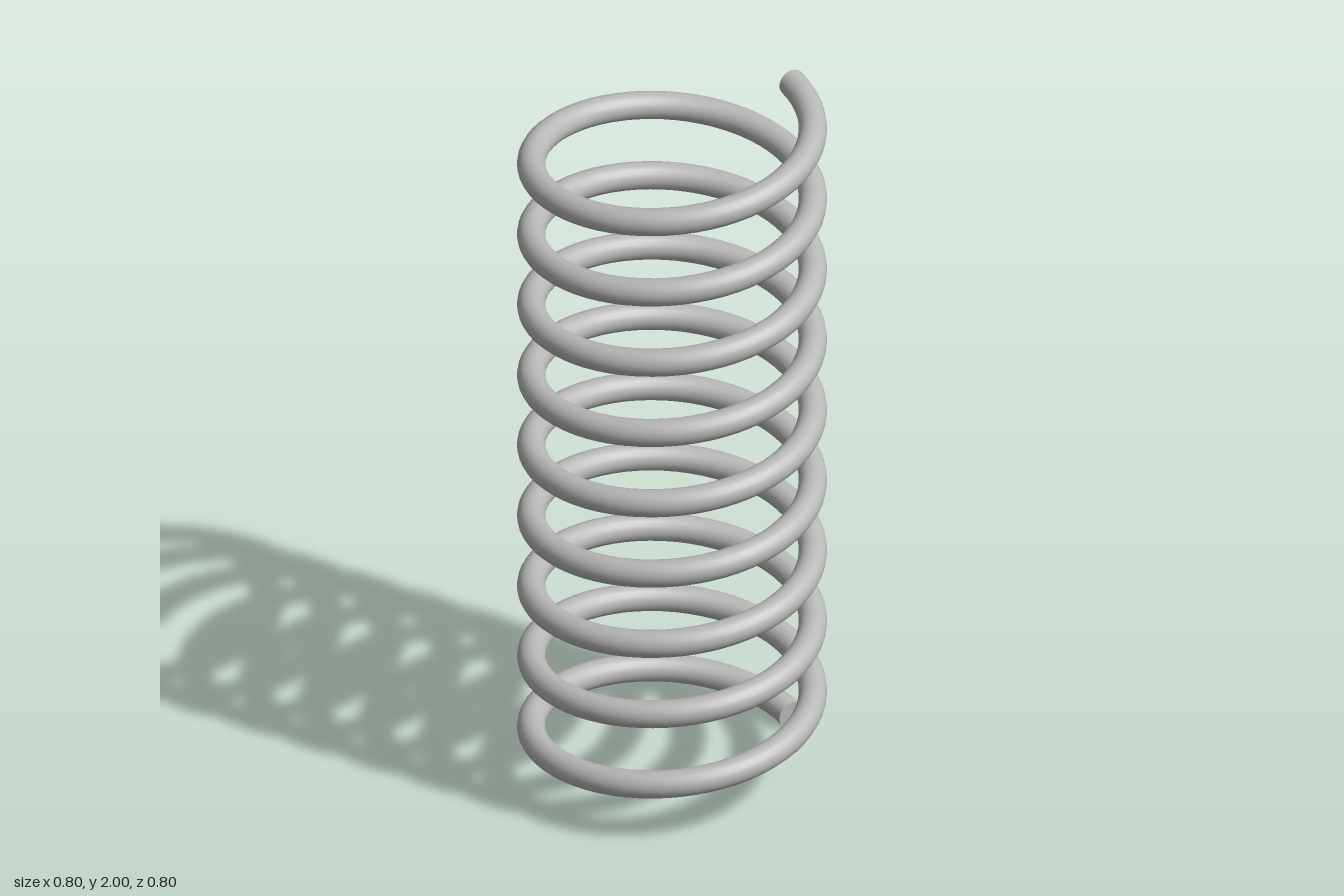
import * as THREE from 'three';

const TURNS = 9;
const COIL_RADIUS = 0.3625;
const WIRE_RADIUS = 0.0365;
const HEIGHT = 2;

// Wraps a capped straight rod (along y) into a helix with vertical radial end faces
function coilGeometry() {
  const geo = new THREE.CylinderGeometry(WIRE_RADIUS, WIRE_RADIUS, 1, 20, TURNS * 64);
  const pos = geo.attributes.position;
  const nor = geo.attributes.normal;
  const rise = HEIGHT - 2 * WIRE_RADIUS;
  const slope = rise / (TURNS * 2 * Math.PI);
  const radial = new THREE.Vector3();
  const tangent = new THREE.Vector3();
  const up = new THREE.Vector3(0, 1, 0);
  const v = new THREE.Vector3();

  for (let i = 0; i < pos.count; i++) {
    const t = pos.getY(i) + 0.5;
    const a = t * TURNS * 2 * Math.PI;
    radial.set(Math.cos(a), 0, -Math.sin(a));
    tangent.set(-Math.sin(a), 0, -Math.cos(a));

    const rho = COIL_RADIUS + pos.getX(i);
    v.copy(radial).multiplyScalar(rho);
    v.y = WIRE_RADIUS + t * rise + pos.getZ(i);
    pos.setXYZ(i, v.x, v.y, v.z);

    // Normal stays square to the climbing wire
    const nx = nor.getX(i), ny = nor.getY(i), nz = nor.getZ(i);
    v.copy(radial).multiplyScalar(nx)
      .addScaledVector(up, nz)
      .addScaledVector(tangent, ny - nz * slope / rho)
      .normalize();
    nor.setXYZ(i, v.x, v.y, v.z);
  }
  return geo;
}

export function createModel() {
  const steel = new THREE.MeshStandardMaterial({ color: 0xb8b8b8 });
  steel.name = 'steel grey';

  const group = new THREE.Group();
  group.name = 'coilSpring';

  const coil = new THREE.Mesh(coilGeometry(), steel);
  coil.name = 'coil';
  group.add(coil);
  return group;
}
